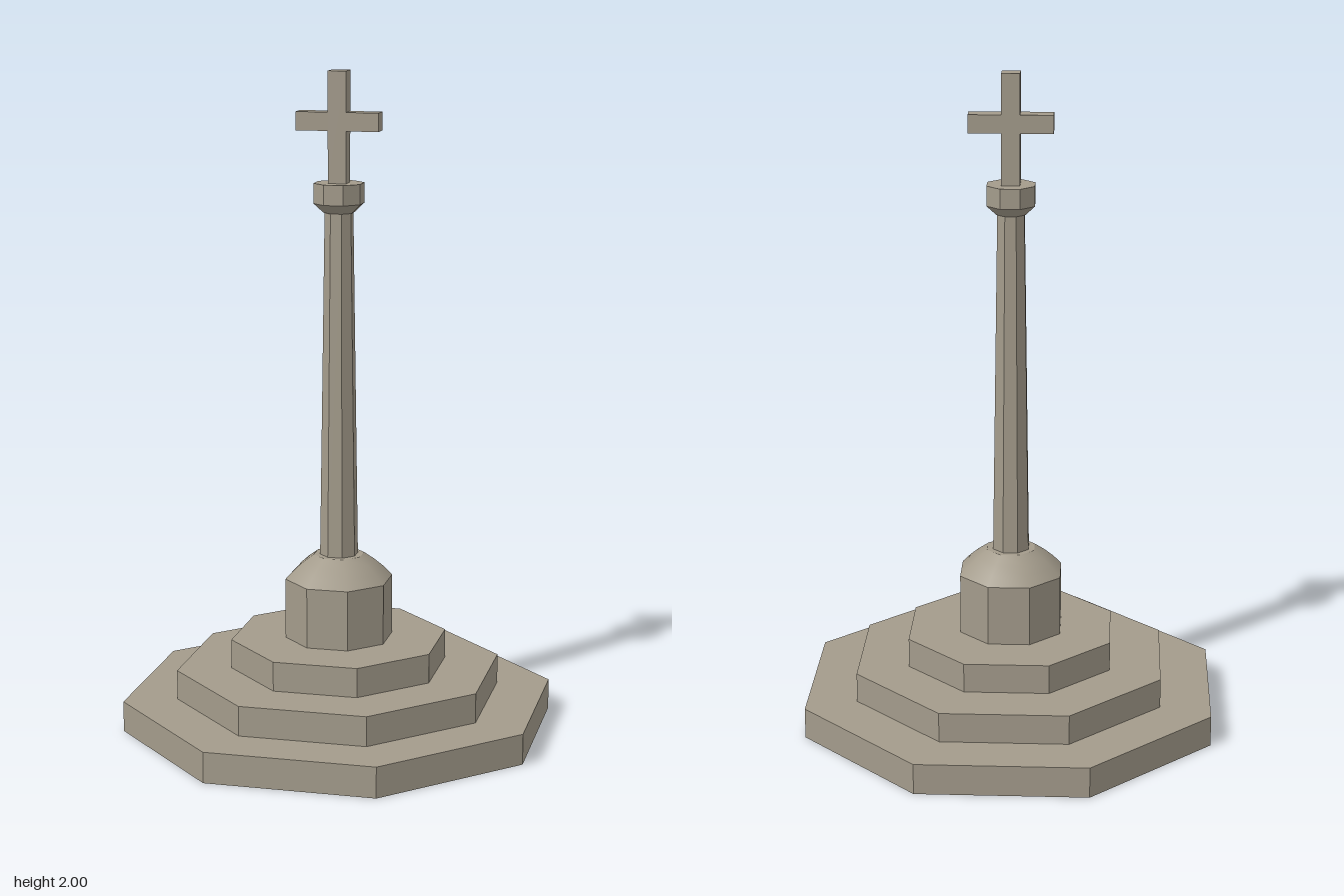
import * as THREE from 'three';

export function createModel() {
  const group = new THREE.Group();
  const stone = new THREE.MeshStandardMaterial({ color: 0xa39b8b });
  stone.name = 'stone';

  const add = (name, geometry, y = 0) => {
    const mesh = new THREE.Mesh(geometry, stone);
    mesh.name = name;
    mesh.position.y = y;
    group.add(mesh);
  };

  // Octagonal block with flat sides facing the axes; radii are given to the flats
  const toCorner = 1 / Math.cos(Math.PI / 8);
  const octagon = (name, bottom, top, y0, y1) => {
    const g = new THREE.CylinderGeometry(top * toCorner, bottom * toCorner, y1 - y0, 8, 1, false, Math.PI / 8).toNonIndexed();
    g.computeVertexNormals();
    add(name, g, (y0 + y1) / 2);
  };

  // Stepped base and pedestal
  octagon('lowerStep', 0.616, 0.616, 0, 0.094);
  octagon('middleStep', 0.463, 0.463, 0.094, 0.185);
  octagon('upperStep', 0.308, 0.308, 0.185, 0.275);
  octagon('pedestal', 0.153, 0.153, 0.275, 0.46);

  // Smooth rounded shoulder on the pedestal, with a flat top
  const profile = [[0.153, 0.46], [0.128, 0.488], [0.102, 0.512], [0.072, 0.535]]
    .map(([r, y]) => new THREE.Vector2(r * toCorner, y));
  add('shoulder', new THREE.LatheGeometry(profile, 8, Math.PI / 8));
  const cap = new THREE.CircleGeometry(0.072 * toCorner, 8, Math.PI / 8);
  cap.rotateX(-Math.PI / 2);
  add('shoulderTop', cap, 0.535);

  // Tapered shaft and its capital
  octagon('shaft', 0.054, 0.04, 0.535, 1.582);
  octagon('capitalFlare', 0.043, 0.071, 1.582, 1.61);
  octagon('capital', 0.071, 0.071, 1.61, 1.67);

  // Cross
  add('crossUpright', new THREE.BoxGeometry(0.055, 0.33, 0.055), 1.835);
  for (const side of [1, -1]) {
    const arm = new THREE.BoxGeometry(0.0975, 0.055, 0.055);
    arm.translate(side * 0.07625, 0, 0);
    add(side > 0 ? 'leftArm' : 'rightArm', arm, 1.852);
  }

  return group;
}
